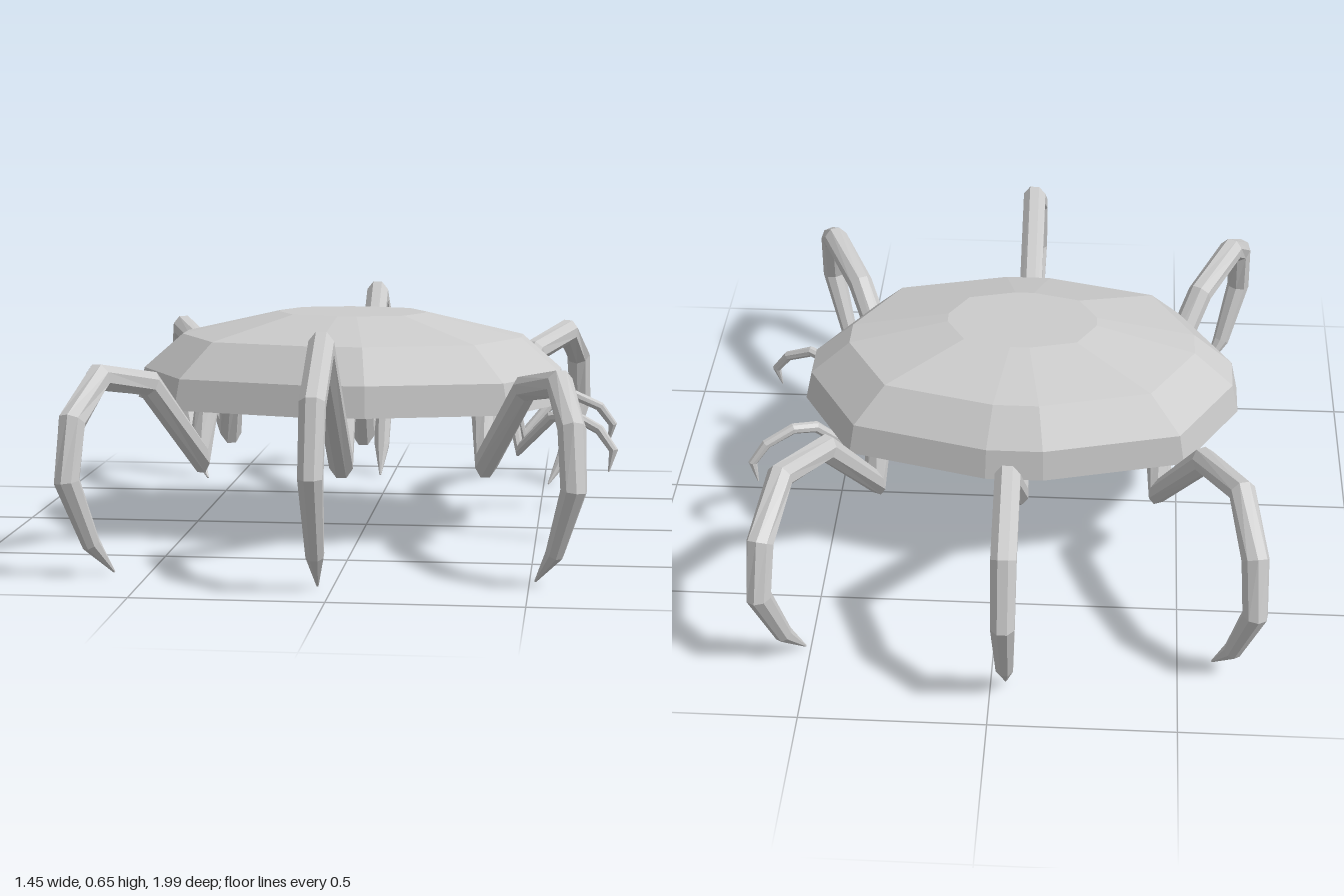
import * as THREE from 'three';

const CX = -0.04; // the shell is centred slightly off the overall middle
const material = new THREE.MeshStandardMaterial({ color: 0xcccccc, flatShading: true });

// Skin a list of equal-length vertex rings and close both ends
function loft(rings, name) {
  const n = rings[0].length;
  const vertices = rings.flat();
  const index = [];
  for (let i = 0; i < rings.length - 1; i++) {
    for (let j = 0; j < n; j++) {
      const k = (j + 1) % n;
      const a = i * n + j, b = i * n + k;
      index.push(a, b, b + n, a, b + n, a + n);
    }
  }
  [0, rings.length - 1].forEach((r, end) => {
    const centre = new THREE.Vector3();
    rings[r].forEach(p => centre.addScaledVector(p, 1 / n));
    const c = vertices.push(centre) - 1;
    for (let j = 0; j < n; j++) {
      const a = r * n + j, b = r * n + (j + 1) % n;
      if (end) index.push(c, a, b);
      else index.push(c, b, a);
    }
  });
  let geometry = new THREE.BufferGeometry().setFromPoints(vertices);
  geometry.setIndex(index);
  geometry = geometry.toNonIndexed();
  geometry.computeVertexNormals();
  const mesh = new THREE.Mesh(geometry, material);
  mesh.name = name;
  return mesh;
}

// Sweep an eight-sided section along [x, y, z, radius] points with mitred joints
function limb(points, name) {
  const path = points.map(p => new THREE.Vector3(p[0], p[1], p[2]));
  const out = path[2].clone().sub(path[1]).setY(0).normalize();
  const side = new THREE.Vector3(0, 1, 0).cross(out).normalize();
  const direction = i => path[i + 1].clone().sub(path[i]).normalize();
  const last = path.length - 1;
  const rings = path.map((p, i) => {
    const before = direction(Math.max(i - 1, 0));
    const after = direction(Math.min(i, last - 1));
    const t = before.clone().add(after).normalize();
    const mitre = Math.min(1.5, 1 / Math.max(0.1, t.dot(after)));
    const u = t.clone().cross(side).normalize();
    const s = u.clone().cross(t).normalize();
    const r = points[i][3];
    return Array.from({ length: 8 }, (_, j) => {
      const a = (j + 0.5) * Math.PI / 4;
      return p.clone()
        .addScaledVector(s, r * Math.cos(a))
        .addScaledVector(u, r * mitre * Math.sin(a));
    });
  });
  return loft(rings, name);
}

// Twelve-sided faceted shell, stepped in towards a flat crown
function makeShell() {
  const outline = [
    [0.08, 0.425], [0.465, 0.325], [0.62, 0.06],
    [0.62, -0.06], [0.465, -0.325], [0.08, -0.425],
    [-0.08, -0.425], [-0.465, -0.325], [-0.62, -0.06],
    [-0.62, 0.06], [-0.465, 0.325], [-0.08, 0.425],
  ];
  const levels = [[0.375, 1], [0.462, 0.97], [0.56, 0.79], [0.625, 0.34]];
  return loft(levels.map(([y, k]) =>
    outline.map(([x, z]) => new THREE.Vector3(CX + x * k, y, z * k))), 'shell');
}

export function createModel() {
  const group = new THREE.Group();
  group.name = 'crawler';
  group.add(makeShell());

  const middleLeg = [
    [0, 0.4, 0.22, 0.036], [0, 0.235, 0.3, 0.036], [0, 0.605, 0.735, 0.036],
    [0, 0.485, 0.915, 0.036], [0, 0.305, 0.963, 0.034],
    [0, 0.09, 0.878, 0.025], [0, 0, 0.825, 0.003],
  ];
  const cornerLeg = [
    [0.39, 0.4, 0.2, 0.036], [0.405, 0.24, 0.27, 0.036], [0.515, 0.465, 0.43, 0.036],
    [0.61, 0.505, 0.62, 0.036], [0.645, 0.41, 0.785, 0.036],
    [0.652, 0.26, 0.825, 0.034], [0.605, 0.085, 0.765, 0.025], [0.555, 0, 0.715, 0.003],
  ];
  const feeler = [
    [0.46, 0.39, 0.085, 0.016], [0.49, 0.25, 0.12, 0.016], [0.58, 0.35, 0.17, 0.016],
    [0.64, 0.362, 0.2, 0.015], [0.715, 0.325, 0.228, 0.014],
    [0.755, 0.27, 0.243, 0.012], [0.742, 0.21, 0.25, 0.002],
  ];
  const place = (points, sx, sz) => points.map(([x, y, z, r]) => [CX + x * sx, y, z * sz, r]);

  // Front and back sets mirror each other
  for (const [sz, end] of [[1, 'front'], [-1, 'back']]) {
    group.add(limb(place(middleLeg, 1, sz), end + 'MiddleLeg'));
    group.add(limb(place(cornerLeg, 1, sz), end + 'LeftLeg'));
    group.add(limb(place(cornerLeg, -1, sz), end + 'RightLeg'));
    group.add(limb(place(feeler, 1, sz), end + 'Feeler'));
  }
  return group;
}
